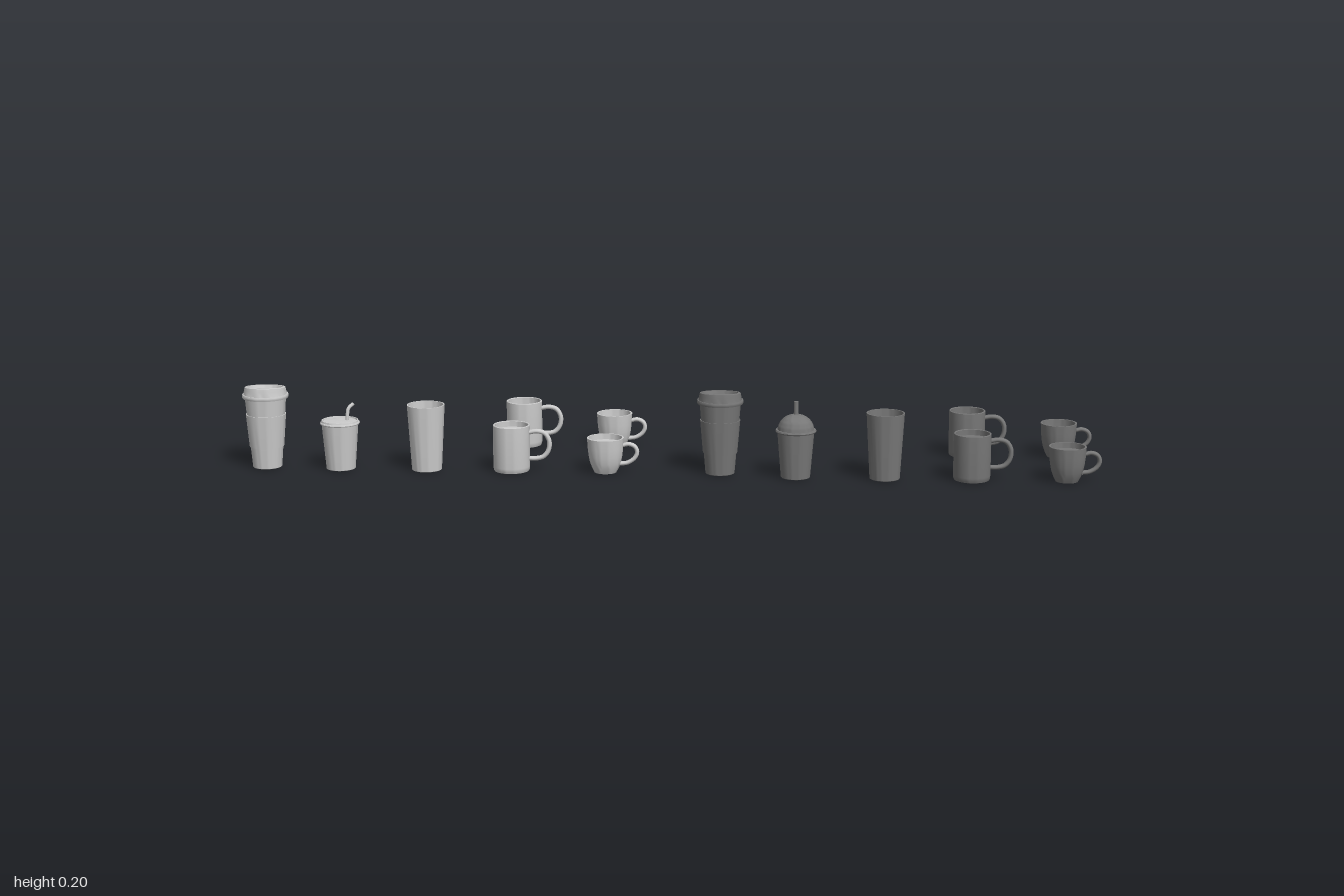
import * as THREE from 'three';
import { toCreasedNormals } from 'three/addons/utils/BufferGeometryUtils.js';

const SEG = 40;

// Revolved solid from [radius, height] pairs, listed from the base centre outwards
function turn(name, profile, mat, reshape) {
  const geo = new THREE.LatheGeometry(profile.map(([r, y]) => new THREE.Vector2(r, y)), SEG);
  if (reshape) reshape(geo.attributes.position);
  const mesh = new THREE.Mesh(toCreasedNormals(geo, 0.6), mat);
  mesh.name = name;
  return mesh;
}

function tube(name, pts, radius, mat, widen = 1) {
  const curve = new THREE.CatmullRomCurve3(pts.map((p) => new THREE.Vector3(...p)));
  const mesh = new THREE.Mesh(new THREE.TubeGeometry(curve, 36, radius, 12), mat);
  mesh.scale.z = widen;
  mesh.name = name;
  return mesh;
}

function group(name, ...parts) {
  const g = new THREE.Group();
  g.name = name;
  g.add(...parts);
  return g;
}

// Open tapered cup with a thin wall
const cupProfile = (r0, r1, h, wall = 0.003) => [
  [0, 0], [r0 - 0.001, 0], [r0, 0.001], [r1, h], [r1 - wall, h], [r0 - wall, 0.005], [0, 0.005],
];

// Tall takeaway cup with sleeve and slanted, recessed sip lid
function travelCup(mat) {
  const slant = (pos) => {
    for (let i = 0; i < pos.count; i++) {
      const y = pos.getY(i);
      if (y > 0.178) pos.setY(i, y + 0.095 * pos.getZ(i));
    }
  };
  return group('travelCup',
    turn('travelCupBody', cupProfile(0.034, 0.048, 0.167), mat),
    turn('sleeve', [[0.037, 0.05], [0.0402, 0.05], [0.0468, 0.127], [0.044, 0.127]], mat),
    turn('travelLid', [
      [0.046, 0.166], [0.053, 0.166], [0.054, 0.168], [0.054, 0.173], [0.053, 0.175],
      [0.0505, 0.175], [0.049, 0.183], [0.0475, 0.1905], [0.046, 0.1915], [0.041, 0.1915],
      [0.038, 0.184], [0, 0.184],
    ], mat, slant));
}

// Short cup with a flat lid and a bent straw
function strawCup(mat) {
  return group('strawCup',
    turn('strawCupBody', cupProfile(0.034, 0.043, 0.11), mat),
    turn('flatLid', [
      [0.042, 0.107], [0.0455, 0.107], [0.0465, 0.109], [0.0455, 0.111], [0.0435, 0.112],
      [0.0425, 0.116], [0.040, 0.116], [0.039, 0.113], [0, 0.113],
    ], mat),
    tube('bentStraw', [
      [0.012, 0.02, -0.008], [0.014, 0.08, -0.011], [0.016, 0.13, -0.014],
      [0.018, 0.14, -0.016], [0.028, 0.15, -0.024],
    ], 0.0042, mat));
}

// Short cup with a domed lid and an upright straw
function domeCup(mat) {
  const dome = [];
  for (let i = 0; i <= 10; i++) {
    const a = (i / 10) * Math.PI / 2;
    dome.push([0.042 * Math.cos(a), 0.113 + 0.036 * Math.sin(a)]);
  }
  dome[10][0] = 0;
  const straw = new THREE.Mesh(new THREE.CylinderGeometry(0.0053, 0.0053, 0.16, 16), mat);
  straw.name = 'straightStraw';
  straw.position.y = 0.099;
  return group('domeCup',
    turn('domeCupBody', cupProfile(0.034, 0.043, 0.11), mat),
    turn('domeLid', [[0.042, 0.107], [0.046, 0.107], [0.0475, 0.11], [0.046, 0.113], ...dome], mat),
    straw);
}

// Plain open tumbler
const tumbler = (mat) => group('tumbler', turn('tumblerBody', cupProfile(0.035, 0.044, 0.155), mat));

function liquid(radius, y, mat) {
  const mesh = new THREE.Mesh(new THREE.CircleGeometry(radius, SEG), mat);
  mesh.name = 'liquid';
  mesh.rotation.x = -Math.PI / 2;
  mesh.position.y = y;
  return mesh;
}

// Straight mug with a loop handle
function mug(mat, filled) {
  const g = group('mug',
    turn('mugBody', [
      [0, 0], [0.038, 0], [0.0405, 0.001], [0.042, 0.004], [0.043, 0.012], [0.043, 0.109], [0.042, 0.11],
      [0.040, 0.11], [0.039, 0.109], [0.039, 0.012], [0.037, 0.007], [0, 0.006],
    ], mat),
    tube('mugHandle', [
      [0.0405, 0.092, 0], [0.06, 0.095, 0], [0.078, 0.09, 0], [0.0885, 0.072, 0],
      [0.0865, 0.05, 0], [0.075, 0.035, 0], [0.058, 0.03, 0], [0.0405, 0.03, 0],
    ], 0.0055, mat, 1.3));
  if (filled) g.add(liquid(0.041, 0.096, mat));
  return g;
}

// Rounded teacup with a small handle
function teacup(mat, filled) {
  const outer = [
    [0.026, 0], [0.0275, 0.003], [0.032, 0.012], [0.0365, 0.025],
    [0.0395, 0.04], [0.0415, 0.058], [0.043, 0.082],
  ];
  const inner = outer.slice(1).reverse().map(([r, y], i) => [r - 0.004, i ? y + 0.003 : y]);
  const g = group('teacup',
    turn('teacupBody', [[0, 0], ...outer, ...inner, [0, 0.006]], mat),
    tube('teacupHandle', [
      [0.04, 0.064, 0], [0.055, 0.067, 0], [0.069, 0.061, 0], [0.074, 0.048, 0],
      [0.068, 0.034, 0], [0.052, 0.023, 0], [0.034, 0.02, 0],
    ], 0.005, mat, 1.4));
  if (filled) g.add(liquid(0.0395, 0.069, mat));
  return g;
}

export function createModel() {
  const model = new THREE.Group();
  model.name = 'cupCollection';
  const pale = new THREE.MeshStandardMaterial({ color: 0xcccccc, side: THREE.DoubleSide });
  const dark = new THREE.MeshStandardMaterial({ color: 0x777777, side: THREE.DoubleSide });

  const place = (cup, x, z) => {
    cup.position.set(x, 0, z);
    model.add(cup);
  };

  // Pale set
  place(travelCup(pale), -0.946, 0.113);
  place(strawCup(pale), -0.77, 0.12);
  place(tumbler(pale), -0.567, 0.119);
  // Dark set
  place(travelCup(dark), 0.12, 0.113);
  place(domeCup(dark), 0.296, 0.142);
  place(tumbler(dark), 0.502, 0.143);

  // Filled mugs and teacups in front, empty ones behind
  for (const [mat, mugX, teaX, frontZ, backZ] of [
    [pale, -0.367, -0.147, 0.119, -0.144],
    [dark, 0.702, 0.92, 0.143, -0.1],
  ]) {
    for (const filled of [true, false]) {
      const z = filled ? frontZ : backZ;
      place(mug(mat, filled), mugX, z);
      place(teacup(mat, filled), teaX, z);
    }
  }
  return model;
}
